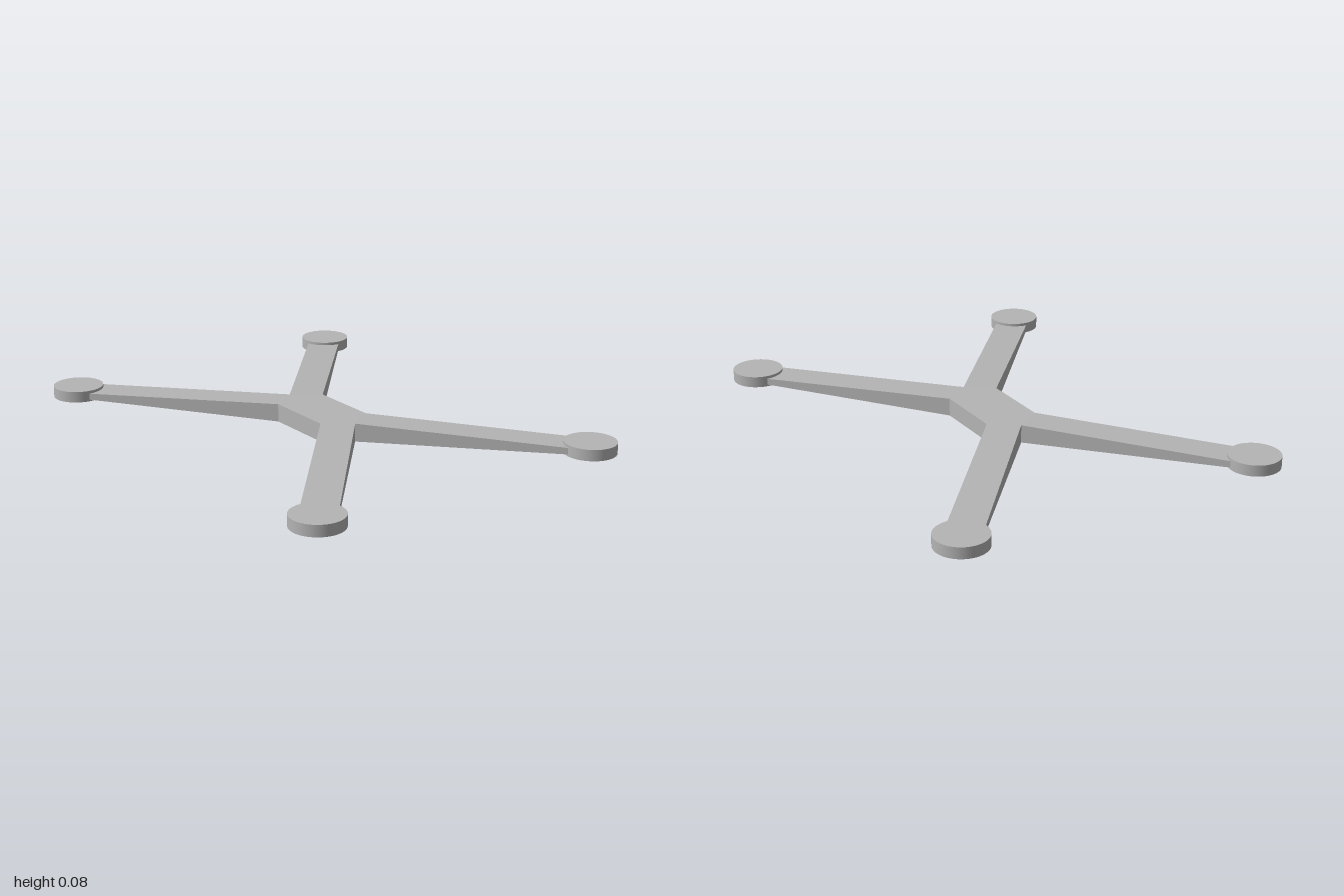
import * as THREE from 'three';

const MID = 0.0385; // height of the middle plane
const HUB_HALF = 0.0375;
const TIP_HALF = 0.011;

export function createModel() {
  const model = new THREE.Group();
  model.name = 'crossFrame';
  const grey = new THREE.MeshStandardMaterial({ color: 0xb4b4b4 });
  grey.name = 'plainGrey';

  const add = (geometry, name) => {
    const mesh = new THREE.Mesh(geometry, grey);
    mesh.name = name;
    model.add(mesh);
    return mesh;
  };

  // Six-sided hub plate
  const outline = [[0.23, 0], [0.15, 0.112], [-0.15, 0.112], [-0.23, 0], [-0.15, -0.112], [0.15, -0.112]];
  const shape = new THREE.Shape(outline.map(([x, z]) => new THREE.Vector2(x, z)));
  const hub = new THREE.ExtrudeGeometry(shape, { depth: HUB_HALF * 2, bevelEnabled: false });
  hub.rotateX(-Math.PI / 2).translate(0, MID - HUB_HALF, 0);
  add(hub, 'hub');

  // Arm from a hub edge to a foot centre, thinning towards the tip
  const armGeometry = (sx, sz, foot) => {
    const edge = [new THREE.Vector2(0.23 * sx, 0), new THREE.Vector2(0.15 * sx, 0.112 * sz)];
    const start = edge[0].clone().add(edge[1]).multiplyScalar(0.5);
    const along = foot.clone().sub(start).normalize();
    const side = new THREE.Vector2(-along.y, along.x); // box +z side
    edge.sort((a, b) => a.dot(side) - b.dot(side));
    const geometry = new THREE.BoxGeometry(1, 2, 2);
    const p = geometry.attributes.position;
    for (let i = 0; i < p.count; i++) {
      const atTip = p.getX(i) > 0;
      const s = Math.sign(p.getZ(i));
      const half = atTip ? TIP_HALF : HUB_HALF;
      const at = atTip ? foot.clone().addScaledVector(side, 0.07 * s) : edge[s > 0 ? 1 : 0];
      p.setXYZ(i, at.x, MID + Math.sign(p.getY(i)) * half, at.y);
    }
    geometry.computeVertexNormals();
    return geometry;
  };

  // Four arms, each ending in a round foot pad
  const corners = [
    [1, 1, 0.887, 0.647, 'frontLeft'],
    [-1, 1, -0.895, 0.64, 'frontRight'],
    [1, -1, 0.893, -0.643, 'backLeft'],
    [-1, -1, -0.89, -0.65, 'backRight'],
  ];
  for (const [sx, sz, x, z, name] of corners) {
    add(armGeometry(sx, sz, new THREE.Vector2(x, z)), name + 'Arm');
    const pad = add(new THREE.CylinderGeometry(0.105, 0.105, 0.046, 48), name + 'Pad');
    pad.position.set(x, 0.041, z);
  }
  return model;
}
